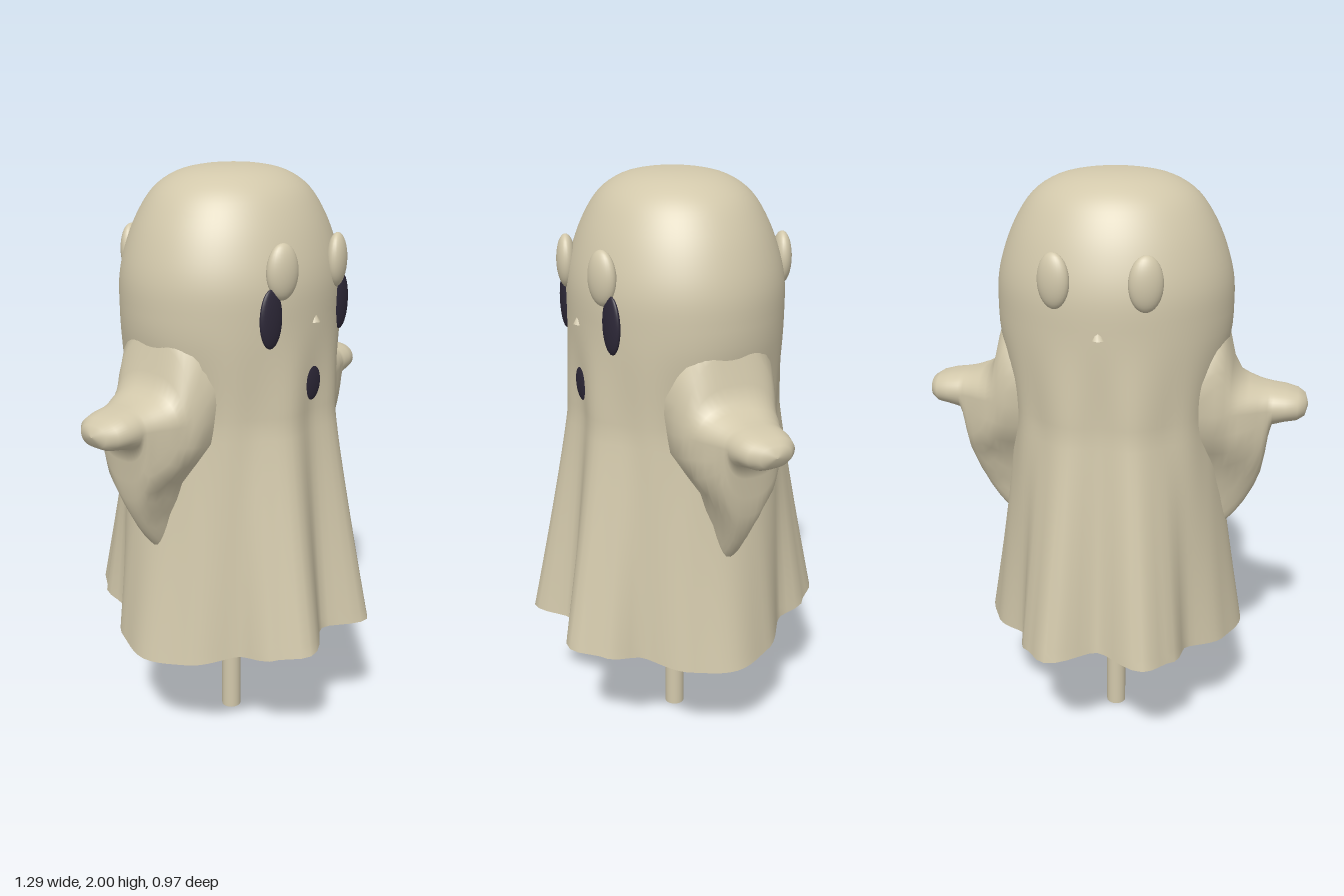
import * as THREE from 'three';

const cloth = new THREE.MeshStandardMaterial({ color: 0xd2c8ab, side: THREE.DoubleSide });
const dark = new THREE.MeshStandardMaterial({ color: 0x2d2838 });
const { lerp, smoothstep, radToDeg } = THREE.MathUtils;

// Skin a list of closed loops of points into one smooth surface
function loft(loops) {
  const n = loops[0].length, index = [];
  for (let i = 0; i < loops.length - 1; i++) {
    for (let j = 0; j < n; j++) {
      const k = (j + 1) % n;
      const a = i * n + j, b = i * n + k, c = a + n, d = b + n;
      index.push(a, b, c, b, d, c);
    }
  }
  const g = new THREE.BufferGeometry().setFromPoints(loops.flat());
  g.setIndex(index);
  g.computeVertexNormals();
  return g;
}

// Look up a [key, value] table with eased steps
function ease(table, key) {
  for (let i = 1; i < table.length; i++) {
    const [k0, v0] = table[i - 1], [k1, v1] = table[i];
    if (key <= k1) return lerp(v0, v1, smoothstep(key, k0, k1));
  }
  return table[table.length - 1][1];
}

// Sheet radius by angle (degrees from the side to the front) at mid height and at the hem
const WAIST = [[0, 0.33], [22, 0.342], [40, 0.355], [52, 0.348], [72, 0.365], [90, 0.338]];
const HEM = [[0, 0.46], [20, 0.435], [43, 0.395], [58, 0.47], [71, 0.513], [90, 0.41]];

const headRadius = (t) => 1 / Math.hypot(Math.cos(t) / 0.386, Math.sin(t) / 0.348);

// One loop round the sheet; fn gives [radius, height] for an angle
function ring(fn) {
  const sides = 96;
  return Array.from({ length: sides }, (_, j) => {
    const t = (j / sides) * Math.PI * 2;
    const deg = radToDeg(Math.atan2(Math.abs(Math.sin(t)), Math.abs(Math.cos(t))));
    const [r, y] = fn(t, deg);
    return new THREE.Vector3(r * Math.cos(t), y, r * Math.sin(t));
  });
}

function sheetGeometry() {
  // Domed head
  const dome = new THREE.SplineCurve([
    [0.001, 2], [0.25, 1.996], [0.49, 1.975], [0.69, 1.925], [0.84, 1.84], [0.945, 1.74], [0.995, 1.65], [1, 1.55],
  ].map(([f, y]) => new THREE.Vector2(f, y)));
  const loops = dome.getPoints(28).map((p) => ring((t) => [p.x * headRadius(t), p.y]));
  // Head narrows into the waist
  for (let i = 1; i <= 10; i++) {
    const s = i / 10;
    loops.push(ring((t, deg) => [lerp(headRadius(t), ease(WAIST, deg), smoothstep(s, 0, 1)), 1.55 - 0.33 * s]));
  }
  // Folded skirt flares down to the wavy hem, open underneath
  for (let i = 1; i <= 20; i++) {
    const s = i / 20;
    loops.push(ring((t, deg) => [
      lerp(ease(WAIST, deg), ease(HEM, deg), s ** 1.1),
      lerp(1.22, 0.405 + 0.07 * Math.sin(t) ** 2, s),
    ]));
  }
  return loft(loops);
}

// Arm stations: x, top y, bottom y, half depth
const ARM = [
  [0.24, 1.62, 0.76, 0.22], [0.3, 1.6, 0.765, 0.21], [0.345, 1.57, 0.775, 0.185], [0.375, 1.49, 0.79, 0.168],
  [0.395, 1.4, 0.81, 0.157], [0.42, 1.35, 0.84, 0.147], [0.45, 1.335, 0.885, 0.135], [0.48, 1.325, 0.945, 0.118],
  [0.5, 1.32, 1.0, 0.11], [0.512, 1.318, 1.07, 0.104], [0.52, 1.317, 1.14, 0.101], [0.53, 1.315, 1.185, 0.1],
  [0.57, 1.31, 1.197, 0.096], [0.61, 1.3, 1.203, 0.083], [0.635, 1.285, 1.217, 0.055], [0.645, 1.255, 1.25, 0.005],
];
// Widest half depth the sleeve may have at each height
const SLEEVE = [[0.78, 0.055], [0.9, 0.065], [1.0, 0.09], [1.2, 0.18], [1.36, 0.2], [1.6, 0.14]];

// Raised arm with a sleeve hanging below it
function armGeometry(side) {
  const n = 40;
  return loft(ARM.map(([x, top, bottom, depth]) => Array.from({ length: n }, (_, j) => {
    const t = (j / n) * Math.PI * 2, s = Math.sin(t), c = Math.cos(t);
    const y = 1.252 + (s > 0 ? (top - 1.252) * s : (1.252 - bottom) * s);
    const z = Math.min(depth, ease(SLEEVE, y)) * Math.sign(c) * Math.abs(c) ** 0.75;
    return new THREE.Vector3(side * x, y, -side * z);
  })));
}

export function createModel() {
  const model = new THREE.Group();
  model.name = 'ghostOnStick';
  const add = (name, geometry, material = cloth) => {
    const mesh = new THREE.Mesh(geometry, material);
    mesh.name = name;
    model.add(mesh);
    return mesh;
  };
  // Flattened oval set into the sheet
  const oval = (name, pos, size, turn, material) => {
    const m = add(name, new THREE.SphereGeometry(1, 28, 18), material);
    m.position.set(...pos);
    m.scale.set(...size);
    m.rotation.y = turn;
  };

  add('sheet', sheetGeometry());

  for (const side of [1, -1]) {
    const label = side > 0 ? 'left' : 'right';
    add(label + 'Arm', armGeometry(side));
    oval(label + 'Eye', [side * 0.18, 1.573, 0.311], [0.046, 0.092, 0.016], side * 0.12, dark);
    // Raised ovals on the front and the back
    for (const face of [1, -1]) {
      oval(label + (face > 0 ? 'FrontBrow' : 'BackBrow'),
        [side * 0.14, 1.712, face * 0.32], [0.054, 0.086, 0.032], side * face * 0.35, cloth);
    }
  }
  oval('mouth', [0, 1.345, 0.336], [0.046, 0.063, 0.013], 0, dark);

  // Small pinch in the cloth, front and back
  for (const face of [1, -1]) {
    const pinch = add('pinch', new THREE.ConeGeometry(0.022, 0.04, 8));
    pinch.position.set(0, 1.56, face * 0.338);
  }

  // Stick
  const stick = add('stick', new THREE.CylinderGeometry(0.035, 0.035, 1.5, 24));
  stick.position.y = 0.75;
  return model;
}
